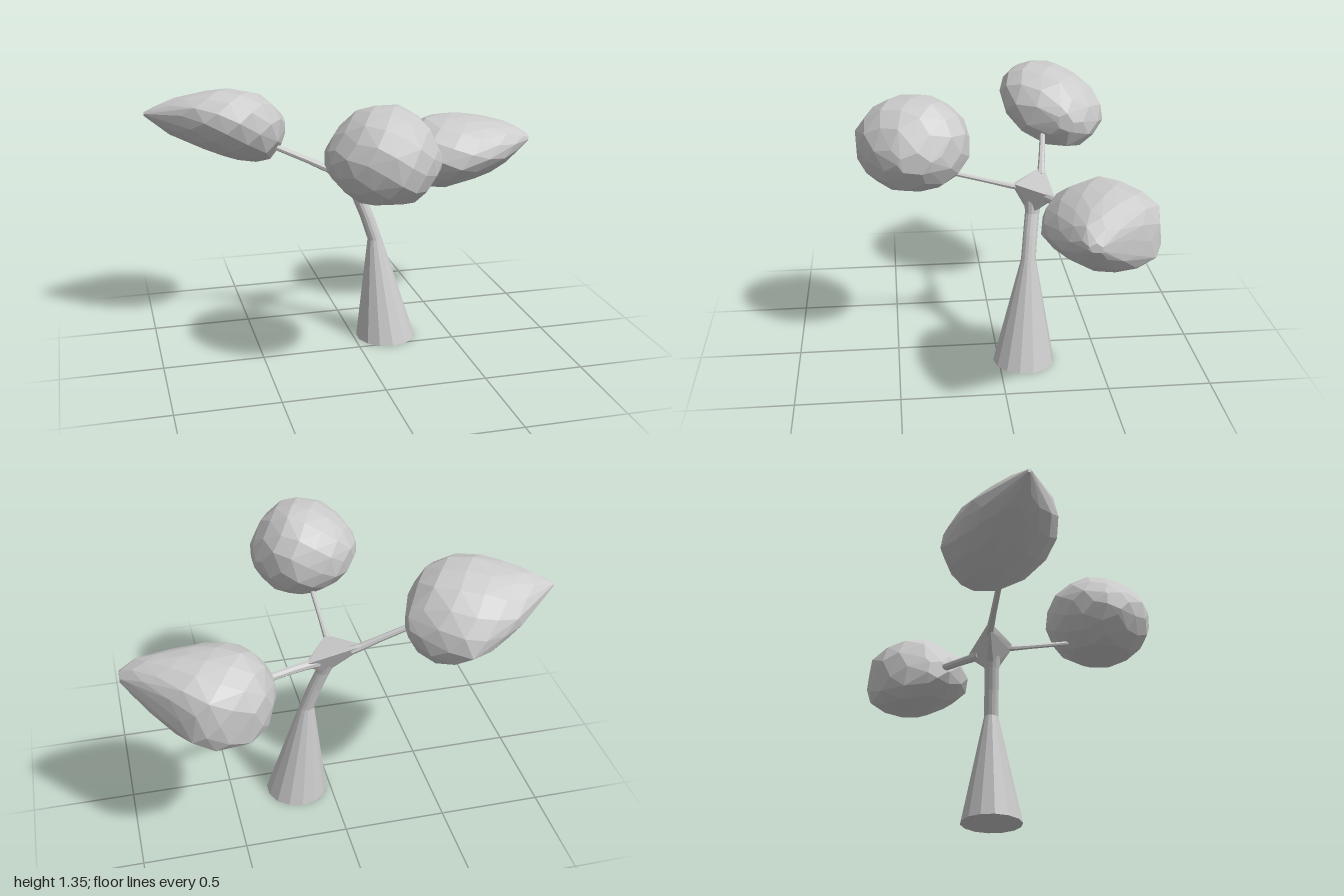
import * as THREE from 'three';
import { ConvexGeometry } from 'three/addons/geometries/ConvexGeometry.js';

const material = new THREE.MeshStandardMaterial({ color: 0xcccccc, flatShading: true });

function named(name, geometry) {
  const mesh = new THREE.Mesh(geometry, material);
  mesh.name = name;
  return mesh;
}

// Tapered limb through stations [x, y, z, radius]; rings face along `axis`.
function limb(name, stations, sides, axis) {
  const last = stations.length - 1;
  const geometry = new THREE.CylinderGeometry(1, 1, 1, sides, last);
  const turn = new THREE.Quaternion().setFromUnitVectors(new THREE.Vector3(0, 1, 0), axis.normalize());
  const pos = geometry.attributes.position;
  const p = new THREE.Vector3();
  for (let i = 0; i < pos.count; i++) {
    p.fromBufferAttribute(pos, i);
    const [x, y, z, r] = stations[Math.round((p.y + 0.5) * last)];
    p.set(p.x * r, 0, p.z * r).applyQuaternion(turn);
    pos.setXYZ(i, p.x + x, p.y + y, p.z + z);
  }
  geometry.computeVertexNormals();
  return named(name, geometry);
}

// Faceted foliage: a spiral of points over elliptical sections
// [x, top, bottom, front z, back z], wrapped in a convex hull.
// tilt slopes the sections, undercut pushes the underside back, floor flattens it.
function foliage(name, sections, { tilt = 0, undercut = 0, floor = 0 }) {
  const count = 90;
  const x0 = sections[0][0];
  const x1 = sections[sections.length - 1][0];
  const points = [];
  const add = (x, angle) => {
    let k = 0;
    while (k < sections.length - 2 && x > sections[k + 1][0]) k++;
    const a = sections[k], b = sections[k + 1];
    const f = (x - a[0]) / (b[0] - a[0]);
    const [, top, bottom, front, back] = a.map((v, j) => THREE.MathUtils.lerp(v, b[j], f));
    const halfZ = (front - back) / 2 * 1.02;
    const halfY = (top - bottom) / 2 * 1.02;
    const h = Math.sqrt(Math.max(halfY ** 2 - (tilt * halfZ) ** 2, 0.00001));
    const dz = halfZ * Math.cos(angle);
    const y = (top + bottom) / 2 + h * Math.sin(angle) + tilt * dz;
    const shift = undercut * halfZ * Math.min(Math.sin(angle), 0);
    const z = Math.max((front + back) / 2 + dz + shift, back);
    points.push(new THREE.Vector3(x, Math.max(y, floor), z));
  };
  for (let i = 0; i < count; i++) add(x0 + (x1 - x0) * (i + 0.5) / count, i * 2.39996);
  // small end faces
  for (let i = 0; i < 5; i++) {
    add(x0, i * Math.PI * 0.4);
    add(x1, i * Math.PI * 0.4 + 0.5);
  }
  return named(name, new ConvexGeometry(points));
}

export function createModel() {
  const model = new THREE.Group();
  model.name = 'tree';

  // Trunk: wide cone, then a slim leaning neck
  model.add(limb('trunk', [
    [0.17, 0, -0.125, 0.153],
    [0.118, 0.53, -0.152, 0.037],
    [0.08, 0.65, -0.165, 0.036],
    [0.042, 0.75, -0.178, 0.036],
    [0.025, 0.81, -0.185, 0.045],
  ], 14, new THREE.Vector3(0, 1, 0)));

  // Fork: a flared triangular web where the three branches meet
  model.add(named('fork', new ConvexGeometry([
    [-0.12, 0.914, -0.228], [-0.12, 0.914, -0.258], [-0.12, 0.885, -0.243],
    [0.12, 0.868, -0.228], [0.135, 0.868, -0.27], [0.125, 0.83, -0.25],
    [-0.015, 0.885, -0.095], [0.017, 0.885, -0.095], [0.001, 0.855, -0.095],
    [0.01, 0.76, -0.18], [0.07, 0.76, -0.18], [0.038, 0.76, -0.15], [0.038, 0.76, -0.21],
  ].map((p) => new THREE.Vector3(...p)))));

  // Branches, tapering from the fork into the foliage
  const branches = {
    rightBranch: [[-0.08, 0.888, -0.238, 0.022], [-0.13, 0.906, -0.244, 0.019], [-0.2, 0.94, -0.255, 0.016], [-0.42, 1.04, -0.29, 0.014]],
    leftBranch: [[0.08, 0.842, -0.232, 0.024], [0.14, 0.85, -0.256, 0.022], [0.22, 0.86, -0.29, 0.02], [0.42, 0.88, -0.38, 0.02]],
    frontBranch: [[0.003, 0.866, -0.13, 0.018], [0.002, 0.874, -0.08, 0.015], [0.002, 0.903, 0.03, 0.012], [0.002, 0.96, 0.24, 0.012]],
  };
  for (const [name, s] of Object.entries(branches)) {
    const axis = new THREE.Vector3(...s[3].slice(0, 3)).sub(new THREE.Vector3(...s[0].slice(0, 3)));
    model.add(limb(name, s, 8, axis));
  }

  // Foliage: two teardrops and one round clump with a flat underside
  model.add(foliage('rightFoliage', [
    [-1, 1.21, 1.19, -0.36, -0.38],
    [-0.88, 1.27, 1.09, -0.26, -0.46],
    [-0.77, 1.295, 1.035, -0.15, -0.55],
    [-0.64, 1.32, 0.965, -0.09, -0.6],
    [-0.53, 1.31, 0.93, -0.08, -0.63],
    [-0.42, 1.275, 0.915, -0.13, -0.575],
    [-0.35, 1.21, 0.95, -0.21, -0.51],
    [-0.3, 1.14, 1.04, -0.35, -0.43],
  ], { tilt: 0.2 }));
  model.add(foliage('leftFoliage', [
    [0.32, 0.9, 0.8, -0.32, -0.43],
    [0.36, 1, 0.745, -0.25, -0.55],
    [0.45, 1.08, 0.7, -0.18, -0.64],
    [0.56, 1.09, 0.695, -0.14, -0.665],
    [0.65, 1.095, 0.71, -0.145, -0.68],
    [0.74, 1.085, 0.74, -0.165, -0.63],
    [0.83, 1.07, 0.78, -0.19, -0.53],
    [0.92, 1.05, 0.86, -0.23, -0.43],
    [1, 0.995, 0.95, -0.28, -0.34],
  ], { tilt: -0.06, undercut: 0.4 }));
  model.add(foliage('frontFoliage', [
    [-0.25, 1.16, 1.06, 0.45, 0.32],
    [-0.2, 1.24, 0.98, 0.56, 0.22],
    [-0.1, 1.325, 0.91, 0.64, 0.15],
    [0, 1.345, 0.89, 0.675, 0.125],
    [0.1, 1.34, 0.89, 0.65, 0.13],
    [0.2, 1.27, 0.94, 0.57, 0.2],
    [0.265, 1.15, 1.04, 0.47, 0.32],
  ], { floor: 0.92 }));

  return model;
}
